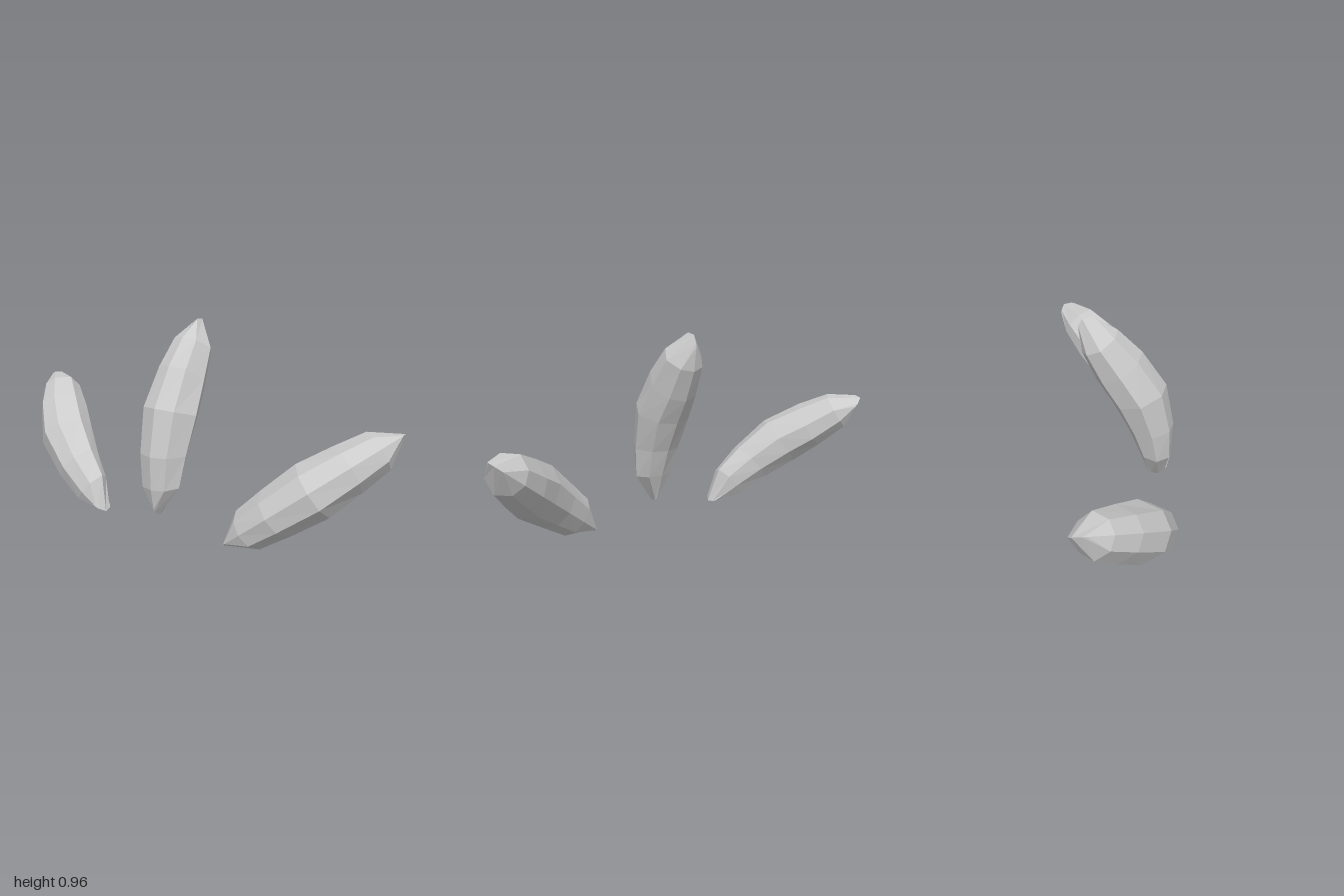
import * as THREE from 'three';

// Stations from foot to tip: front [y, z], back [y, z], half width, end bulge [y, z]
const STATIONS = [
  { f: [0.12, 0.24], b: [0.1, 0.15], w: 0, bulge: [-0.03, 0.005] },
  { f: [0.22, 0.26], b: [0.23, 0.1], w: 0.1 },
  { f: [0.38, 0.265], b: [0.37, 0.045], w: 0.119 },
  { f: [0.6, 0.225], b: [0.52, -0.03], w: 0.137 },
  { f: [0.78, 0.11], b: [0.64, -0.1], w: 0.119 },
  { f: [0.895, 0], b: [0.79, -0.165], w: 0.097 },
  { f: [0.957, -0.1], b: [0.9, -0.18], w: 0, bulge: [0.03, -0.02] },
];

// Faceted cross-section: [position from front to back, share of half width]
const HALF = [[0, 0], [0.12, 0.62], [0.52, 1], [0.88, 0.62], [1, 0]];
const SECTION = [...HALF, ...HALF.slice(1, -1).reverse().map(([t, x]) => [t, -x])];

const FOOT = [0, 0.08, 0.2];

// Curved petal that closes in a wedge edge at both ends, with its foot at the origin
function petalGeometry() {
  const positions = [], index = [], n = SECTION.length;
  STATIONS.forEach(({ f, b, w, bulge = [0, 0] }, i) => {
    SECTION.forEach(([t, x], j) => {
      const k = 4 * t * (1 - t);
      positions.push(
        x * w,
        THREE.MathUtils.lerp(f[0], b[0], t) + bulge[0] * k,
        THREE.MathUtils.lerp(f[1], b[1], t) + bulge[1] * k,
      );
      if (i < STATIONS.length - 1) {
        const a = i * n + j, c = i * n + (j + 1) % n;
        index.push(a, c, c + n, a, c + n, a + n);
      }
    });
  });
  const geometry = new THREE.BufferGeometry();
  geometry.setAttribute('position', new THREE.Float32BufferAttribute(positions, 3));
  geometry.setIndex(index);
  geometry.translate(-FOOT[0], -FOOT[1], -FOOT[2]);
  geometry.computeVertexNormals();
  return geometry;
}

export function createModel() {
  const model = new THREE.Group();
  model.name = 'petals';
  const geometry = petalGeometry();
  const material = new THREE.MeshStandardMaterial({ color: 0xcccccc, flatShading: true });

  // Name, foot position, backward tilt and sideways lean in degrees
  const petals = [
    ['centrePetal', FOOT, 0, 0],
    ['leftPetal', [0.34, 0.005, 0.18], -4, -51.2],
    ['rightPetal', [-0.34, 0.015, 0.18], -4, 49.9],
  ];
  for (const [name, foot, tilt, lean] of petals) {
    const petal = new THREE.Mesh(geometry, material);
    petal.name = name;
    petal.position.set(...foot);
    petal.rotation.order = 'ZYX'; // tilt first, then lean
    petal.rotation.x = THREE.MathUtils.degToRad(tilt);
    petal.rotation.z = THREE.MathUtils.degToRad(lean);
    model.add(petal);
  }
  return model;
}
